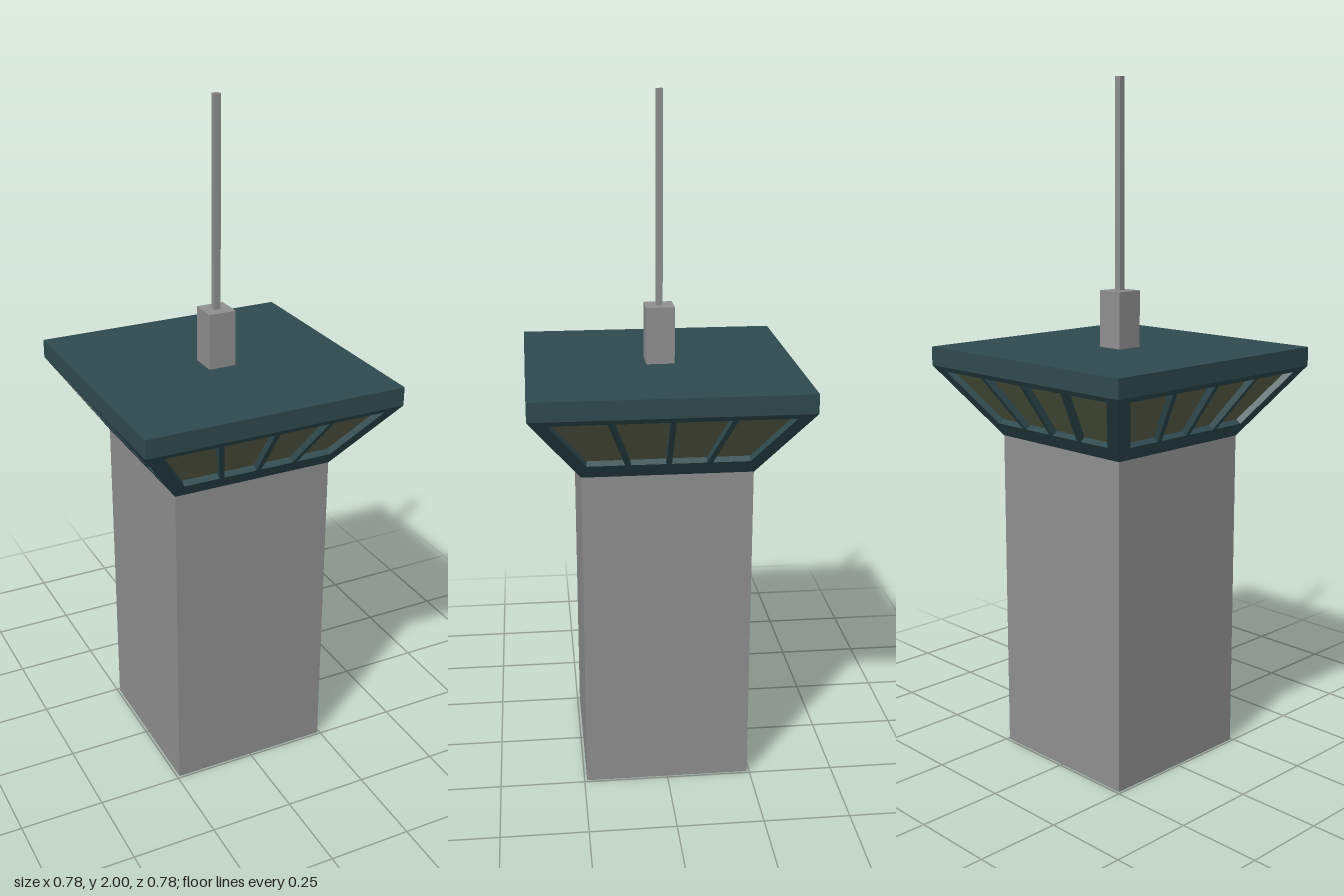
import * as THREE from 'three';

const mat = (name, color) => new THREE.MeshStandardMaterial({ name, color });

export function createModel() {
  const model = new THREE.Group();
  model.name = 'controlTower';
  const concrete = mat('concreteGrey', 0x909090);
  const teal = mat('darkTeal', 0x2f4a4f);
  const glass = mat('oliveGlass', 0x5f664c);

  // Upright square block between two heights
  function block(name, width, y0, y1, material) {
    const mesh = new THREE.Mesh(new THREE.BoxGeometry(width, y1 - y0, width), material);
    mesh.name = name;
    mesh.position.y = (y0 + y1) / 2;
    model.add(mesh);
  }
  block('shaft', 0.485, 0, 0.972, concrete);
  block('roof', 0.778, 1.18, 1.235, teal);
  block('mastBase', 0.082, 1.235, 1.4, concrete);
  block('mast', 0.019, 1.4, 2, concrete);

  // Flared cab: four leaning window walls
  const bottom = 0.97, top = 1.18, halfBottom = 0.243, halfTop = 0.389;
  const rise = top - bottom, run = halfTop - halfBottom;
  const slant = Math.hypot(rise, run), tilt = Math.atan2(run, rise);
  const depth = 0.02;

  // Trapezoid corners, in the plane of a wall
  const quad = (a0, a1, b0, b1, v0, v1) => [
    new THREE.Vector2(a0, v0), new THREE.Vector2(a1, v0),
    new THREE.Vector2(b1, v1), new THREE.Vector2(b0, v1),
  ];
  const outline = quad(-halfBottom, halfBottom, -halfTop, halfTop, 0, slant);

  // Frame with four window openings
  const frameShape = new THREE.Shape(outline);
  const panes = 4, bar = 0.008;
  const v0 = slant * 0.2, v1 = slant * 0.93;
  const w0 = 0.228, w1 = 0.335;
  for (let i = 0; i < panes; i++) {
    const l = -1 + (2 * i) / panes, r = l + 2 / panes;
    const inL = i > 0 ? bar : 0, inR = i < panes - 1 ? bar : 0;
    frameShape.holes.push(new THREE.Path(
      quad(l * w0 + inL, r * w0 - inR, l * w1 + inL, r * w1 - inR, v0, v1)));
  }
  const frameGeo = new THREE.ExtrudeGeometry(frameShape, { depth, bevelEnabled: false });
  frameGeo.translate(0, 0, -depth);

  // Recessed glazing behind the frame
  const glassGeo = new THREE.ShapeGeometry(new THREE.Shape(
    quad(-w0 - 0.006, w0 + 0.006, -w1 - 0.006, w1 + 0.006, v0 - 0.006, v1 + 0.006)));
  glassGeo.translate(0, 0, -depth + 0.001);

  ['front', 'left', 'back', 'right'].forEach((side, i) => {
    const wall = new THREE.Group();
    wall.name = side + 'WindowWall';
    wall.rotation.y = (i * Math.PI) / 2;
    const panel = new THREE.Group();
    panel.name = side + 'Panel';
    panel.position.set(0, bottom, halfBottom);
    panel.rotation.x = tilt;
    const frame = new THREE.Mesh(frameGeo, teal);
    frame.name = side + 'WindowFrame';
    const pane = new THREE.Mesh(glassGeo, glass);
    pane.name = side + 'Windows';
    panel.add(frame, pane);
    wall.add(panel);
    model.add(wall);
  });

  return model;
}
